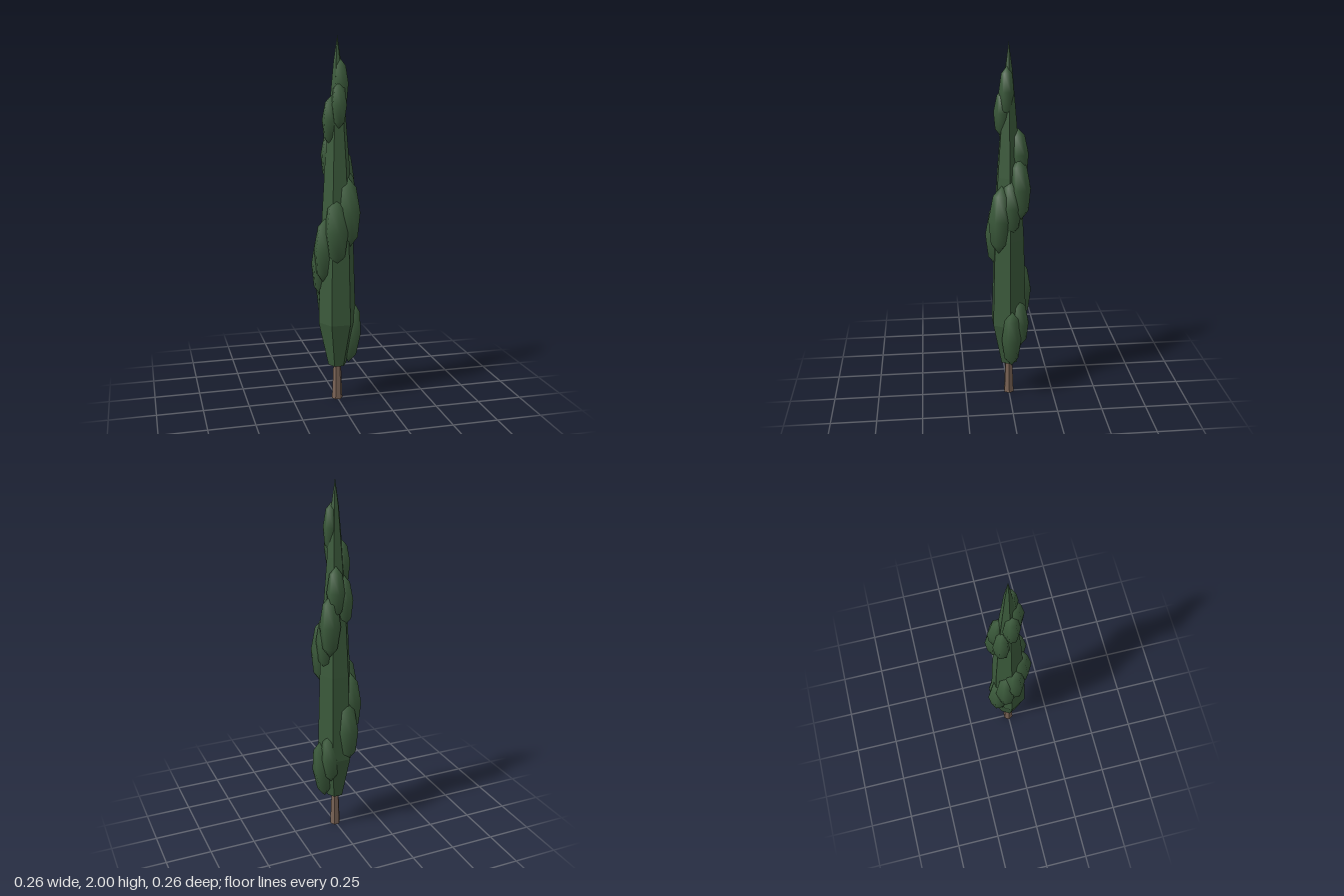
import * as THREE from 'three';

const trunkMat = new THREE.MeshStandardMaterial({ color: 0x7a6355 });
trunkMat.name = 'bark brown';
const leafMat = new THREE.MeshStandardMaterial({ color: 0x3b5a3b });
leafMat.name = 'cypress green';

// Six-sided faceted column from [radius, height] pairs, with corners on the x axis
function hexColumn(name, profile, material) {
  const points = profile.map(([r, y]) => new THREE.Vector2(r, y));
  const geometry = new THREE.LatheGeometry(points, 6, Math.PI / 6).toNonIndexed();
  geometry.computeVertexNormals();
  const mesh = new THREE.Mesh(geometry, material);
  mesh.name = name;
  return mesh;
}

export function createModel() {
  const tree = new THREE.Group();
  tree.name = 'cypressTree';

  // Tapered trunk
  tree.add(hexColumn('trunk', [[0, 0], [0.03, 0], [0.021, 0.22], [0, 0.22]], trunkMat));

  // Tall slender crown ending in a spike
  tree.add(hexColumn('crown', [
    [0, 0.2], [0.05, 0.2], [0.105, 0.45], [0.09, 0.95], [0.07, 1.3],
    [0.045, 1.6], [0.021, 1.86], [0, 2],
  ], leafMat));

  // Elongated foliage tufts: x, y, z, radius, half height, lean toward x, lean toward z
  const tufts = [
    [0.083, 0.375, -0.008, 0.055, 0.175, 0.09, 0],
    [0.055, 0.46, -0.054, 0.052, 0.145, 0.03, 0.04],
    [-0.045, 0.62, -0.068, 0.061, 0.18, 0.02, 0.03],
    [-0.08, 0.77, -0.03, 0.06, 0.18, 0.03, 0],
    [-0.076, 0.86, 0.018, 0.06, 0.18, 0.04, 0],
    [-0.02, 0.965, 0.06, 0.067, 0.185, 0, -0.03],
    [0.052, 1.07, 0.05, 0.064, 0.19, -0.02, -0.05],
    [0.055, 1.14, -0.008, 0.056, 0.16, -0.02, 0],
    [0.052, 1.24, -0.055, 0.057, 0.17, -0.03, 0.04],
    [0.02, 1.42, -0.055, 0.048, 0.14, -0.04, 0.06],
    [-0.034, 1.37, -0.04, 0.049, 0.14, 0.03, 0.03],
    [-0.04, 1.56, 0.008, 0.046, 0.13, 0.04, 0],
    [0, 1.64, 0.036, 0.044, 0.125, 0.02, -0.05],
    [0.018, 1.75, 0.014, 0.04, 0.13, -0.03, -0.02],
  ];
  const foliage = new THREE.Group();
  foliage.name = 'foliageTufts';
  const ball = new THREE.SphereGeometry(1, 6, 4).rotateY(Math.PI / 6);
  tufts.forEach(([x, y, z, r, h, leanX, leanZ], i) => {
    const tuft = new THREE.Mesh(ball, leafMat);
    tuft.name = `foliageTuft${i + 1}`;
    tuft.position.set(x, y, z);
    tuft.scale.set(r, h, r);
    tuft.rotation.set(leanZ, 0, -leanX);
    foliage.add(tuft);
  });
  tree.add(foliage);

  return tree;
}
